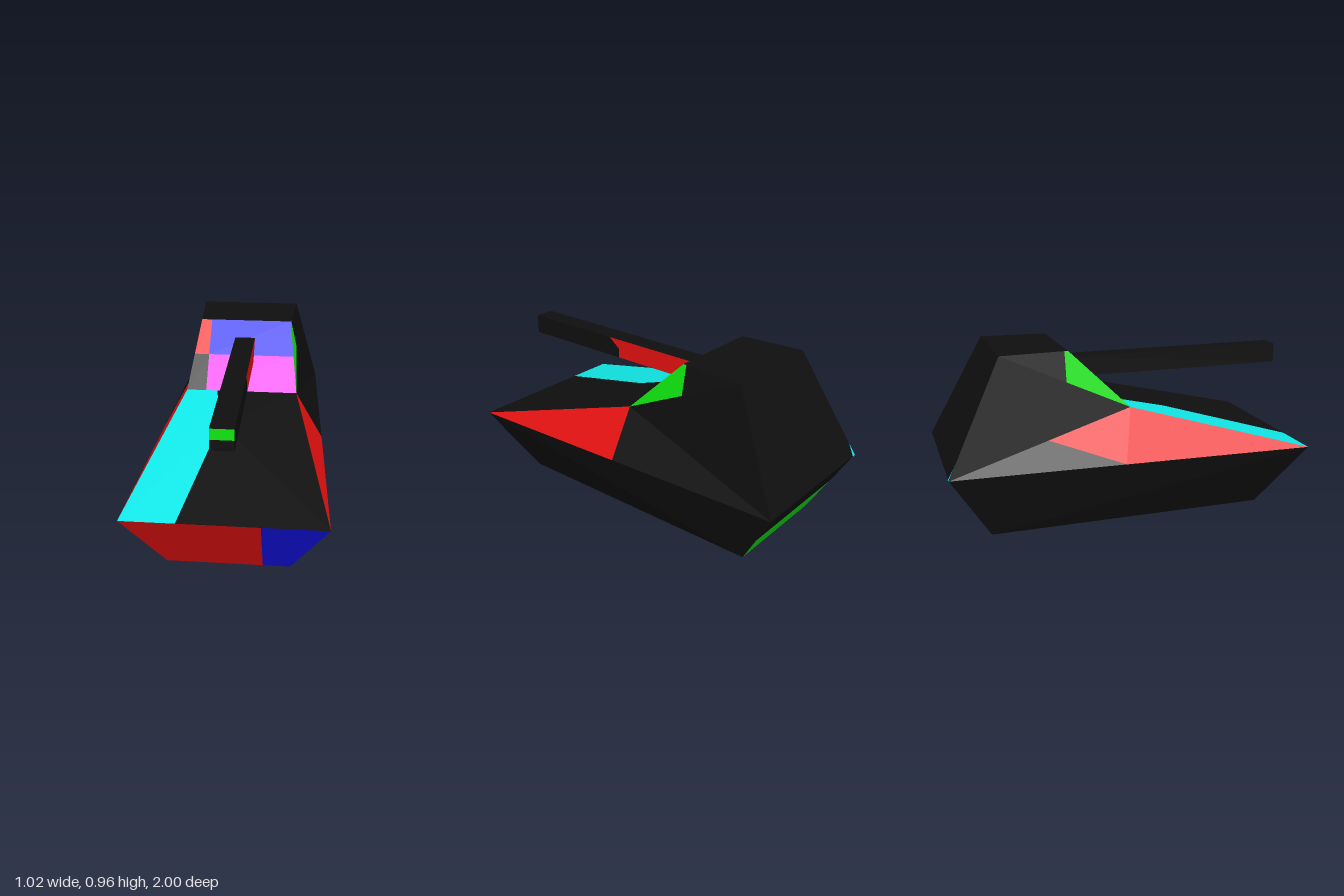
import * as THREE from 'three';

const mat = (name, color) => {
  const m = new THREE.MeshStandardMaterial({ color });
  m.name = name;
  return m;
};

export function createModel() {
  const black = mat('black', 0x0f0f0f), red = mat('red', 0xf01111), green = mat('green', 0x11f011);
  const blue = mat('blue', 0x1111f0), cyan = mat('cyan', 0x11f0f0), magenta = mat('magenta', 0xf011f0);
  const model = new THREE.Group();
  model.name = 'tank';

  // Flat polygon as a fan from its first corner, turned to face away from the centre of its body
  function panel(parent, name, material, centre, pts) {
    const v = pts.map((p) => new THREE.Vector3(...p));
    const n = v[1].clone().sub(v[0]).cross(v[2].clone().sub(v[0]));
    const flip = n.dot(v[0].clone().sub(centre)) < 0;
    const tris = [];
    for (let i = 1; i < v.length - 1; i++) tris.push(v[0], v[flip ? i + 1 : i], v[flip ? i : i + 1]);
    const g = new THREE.BufferGeometry().setFromPoints(tris);
    g.computeVertexNormals();
    const mesh = new THREE.Mesh(g, material);
    mesh.name = name;
    parent.add(mesh);
  }
  const part = (name, centre) => {
    const group = new THREE.Group();
    group.name = name;
    model.add(group);
    return (label, material, ...pts) => panel(group, label, material, centre, pts);
  };

  const core = new THREE.Vector3(0, 0.4, -0.3);
  const glacisY = (z) => 0.64 - 0.27 * z;
  const frontZ = (y) => -(y - 0.64) * 0.33 / 0.32;
  const frontX = (y) => 0.315 - (y - 0.64) * 0.05 / 0.32;

  // Lower hull: flared tub, coloured in sections at the nose and the tail
  const hull = part('hull', core);
  hull('hullBottom', black, [-0.32, 0, 0.78], [0.32, 0, 0.78], [0.32, 0, -0.78], [-0.32, 0, -0.78]);
  hull('noseRight', red, [-0.51, 0.37, 1], [0.18, 0.37, 1], [0.18, 0, 0.78], [-0.32, 0, 0.78]);
  hull('noseLeft', blue, [0.18, 0.37, 1], [0.51, 0.37, 1], [0.32, 0, 0.78], [0.18, 0, 0.78]);
  hull('tailUpper', black, [-0.43, 0.37, -1], [0.43, 0.37, -1], [0.375, 0.185, -0.89], [-0.375, 0.185, -0.89]);
  hull('tailLower', green, [-0.375, 0.185, -0.89], [0.375, 0.185, -0.89], [0.32, 0, -0.78], [-0.32, 0, -0.78]);
  hull('tailCornerMark', magenta, [-0.43, 0.37, -1.002], [-0.415, 0.37, -1.002], [-0.4135, 0.315, -0.969]);

  // Sloping front deck
  const deck = part('frontDeck', core);
  const bend = [-0.09, glacisY(0.28), 0.28];
  deck('deckStripe', cyan, [-0.51, 0.37, 1], [-0.23, 0.37, 1], bend, [-0.14, 0.64, 0], [-0.315, 0.64, 0]);
  deck('deckPlate', black, bend, [-0.14, 0.64, 0], [0.315, 0.64, 0], [0.51, 0.37, 1], [-0.23, 0.37, 1]);

  // Sides of the hull and turret
  const sides = part('sides', core);
  for (const s of [1, -1]) {
    const A = [s * 0.315, 0.64, 0], B = [s * 0.265, 0.96, -0.33], C = [s * 0.29, 0.96, -0.7];
    const D = [s * 0.43, 0.37, -1], F = [s * 0.51, 0.37, 1];
    const cutLow = [s * 0.3025, 0.8, -0.35], cutTop = [s * 0.2664, 0.96, -0.35];
    sides('hullSide', black, F, D, [s * 0.32, 0, -0.78], [s * 0.32, 0, 0.78]);
    sides('turretCheek', green, A, B, cutTop, cutLow);
    sides('turretSide', black, cutLow, cutTop, C);
    sides('rearSide', black, A, C, D);
    if (s > 0) {
      const E = [0.47, 0.37, 0];
      sides('sideWedge', red, A, F, E);
      sides('sideShelf', black, A, E, D);
    } else {
      const T = [-0.369, 0.513, -0.47], E = [-0.467, 0.37, -0.07];
      sides('sideWedge', red, A, F, E, T);
      sides('sideShelf', black, T, E, D);
    }
  }

  // Turret front in four fields, roof and rear
  const turret = part('turret', core);
  const field = (name, material, x0, x1, y0, y1) => turret(name, material,
    [x0 ?? -frontX(y0), y0, frontZ(y0)], [x1 ?? frontX(y0), y0, frontZ(y0)],
    [x1 ?? frontX(y1), y1, frontZ(y1)], [x0 ?? -frontX(y1), y1, frontZ(y1)]);
  field('frontUpperRight', red, null, -0.205, 0.8, 0.96);
  field('frontUpperLeft', blue, -0.205, null, 0.8, 0.96);
  field('frontLowerRight', black, null, -0.205, 0.64, 0.8);
  field('frontLowerLeft', magenta, -0.205, null, 0.64, 0.8);
  turret('roof', black, [-0.265, 0.96, -0.33], [0.265, 0.96, -0.33], [0.29, 0.96, -0.7], [-0.29, 0.96, -0.7]);
  turret('rear', black, [-0.29, 0.96, -0.7], [0.29, 0.96, -0.7], [0.43, 0.37, -1], [-0.43, 0.37, -1]);
  turret('rearCornerMark', cyan, [-0.43, 0.37, -1.002], [-0.405, 0.37, -1.002], [-0.413, 0.44, -0.966]);

  // Square gun barrel
  const gun = part('gunBarrel', new THREE.Vector3(0, 0.825, 0.4));
  const w = 0.058, lo = 0.77, hi = 0.88, mid = 0.824, z0 = -0.26;
  gun('barrelTop', black, [-w, hi, 1], [w, hi, 1], [w, hi, z0], [-w, hi, z0]);
  gun('barrelBottom', black, [-w, lo, 1], [w, lo, 1], [w, lo, z0], [-w, lo, z0]);
  gun('barrelRightSide', black, [-w, lo, 1], [-w, hi, 1], [-w, hi, z0], [-w, lo, z0]);
  gun('barrelLeftTip', black, [w, mid, 0.31], [w, hi, 0.38], [w, hi, 1], [w, lo, 1], [w, lo, 0.31]);
  gun('barrelLeftBase', red, [w, mid, 0.31], [w, lo, 0.31], [w, lo, z0], [w, hi, z0], [w, hi, 0.38]);
  gun('muzzleUpper', green, [-w, mid, 1], [w, mid, 1], [w, hi, 1], [-w, hi, 1]);
  gun('muzzleLower', black, [-w, lo, 1], [w, lo, 1], [w, mid, 1], [-w, mid, 1]);

  return model;
}
